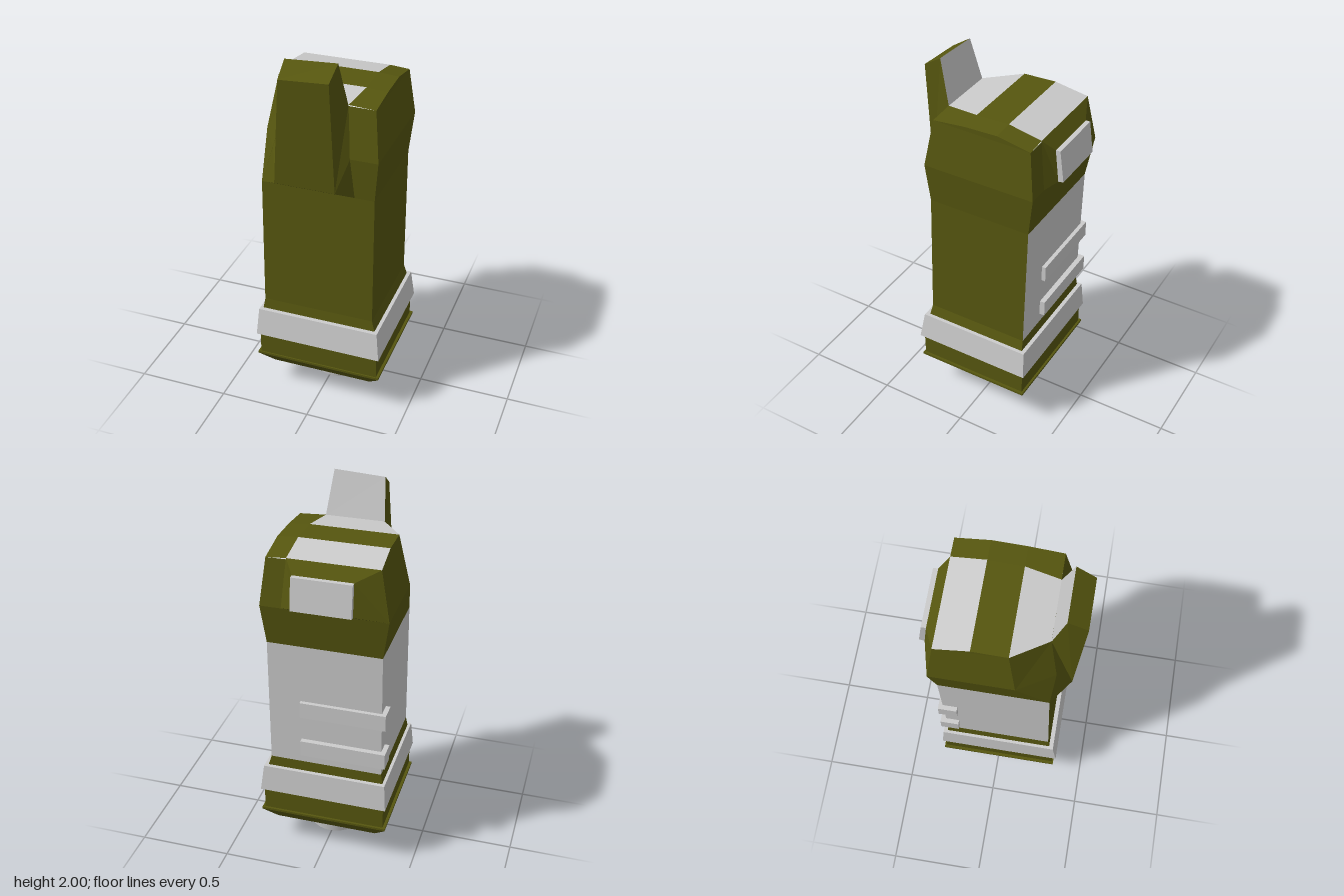
import * as THREE from 'three';

const OLIVE = new THREE.MeshStandardMaterial({ color: 0x56560f, flatShading: true });
const GREY = new THREE.MeshStandardMaterial({ color: 0xcccccc, flatShading: true });
const SMOOTH = new THREE.MeshStandardMaterial({ color: 0xcccccc, side: THREE.DoubleSide });

// Mesh from flat polygons (lists of [x, y, z] corners, counter-clockwise)
function panels(name, material, polygons) {
  const pos = [];
  for (const p of polygons) {
    for (let i = 1; i < p.length - 1; i++) pos.push(...p[0], ...p[i], ...p[i + 1]);
  }
  const geo = new THREE.BufferGeometry();
  geo.setAttribute('position', new THREE.Float32BufferAttribute(pos, 3));
  geo.computeVertexNormals();
  const mesh = new THREE.Mesh(geo, material);
  mesh.name = name;
  return mesh;
}

// Quads joining successive rings; "sides" optionally picks some of the ring edges
function loft(rings, sides) {
  const out = [];
  const n = rings[0].length;
  for (let r = 0; r < rings.length - 1; r++) {
    for (let i = 0; i < n; i++) {
      if (sides && !sides.includes(i)) continue;
      const j = (i + 1) % n;
      out.push([rings[r][i], rings[r][j], rings[r + 1][j], rings[r + 1][i]]);
    }
  }
  return out;
}

// Horizontal rectangle: front-left, front-right, back-right, back-left as seen from the front
const rect = (y, x0, x1, z0, z1) => [[x0, y, z1], [x1, y, z1], [x1, y, z0], [x0, y, z0]];

export function createModel() {
  const group = new THREE.Group();

  // Base tray with a recessed underside
  const recess = rect(0.15, -0.25, 0.25, -0.22, 0.24);
  group.add(panels('base', OLIVE, loft([
    recess,
    rect(0.13, -0.25, 0.25, -0.22, 0.24),
    rect(0.13, -0.28, 0.28, -0.25, 0.27),
    rect(0.21, -0.35, 0.35, -0.312, 0.335),
    rect(0.222, -0.35, 0.35, -0.312, 0.335),
    rect(0.222, -0.335, 0.335, -0.30, 0.328),
    rect(0.355, -0.335, 0.335, -0.30, 0.328),
  ])));
  group.add(panels('basePlate', GREY, [[...recess].reverse()]));

  // Band around the lower body
  group.add(panels('band', GREY, loft([
    rect(0.35, -0.33, 0.33, -0.30, 0.325),
    rect(0.35, -0.35, 0.352, -0.317, 0.346),
    rect(0.503, -0.34, 0.332, -0.306, 0.322),
    rect(0.503, -0.315, 0.305, -0.28, 0.29),
  ])));

  // Body rings: the front corner at -x opens into a chamfer above the waist
  const square = (y, x0, x1, z0, z1) => [...rect(y, x0, x1, z0, z1), [x0, y, z1]];
  const foot = square(0.495, -0.325, 0.315, -0.285, 0.30);
  const low = square(0.56, -0.315, 0.295, -0.28, 0.29);
  const waist = square(1.28, -0.315, 0.29, -0.30, 0.27);
  const bulge = [[-0.24, 1.5, 0.285], [0.31, 1.5, 0.285], [0.31, 1.5, -0.332],
    [-0.35, 1.5, -0.332], [-0.35, 1.5, 0.10]];

  // Top rows from front to back: left edge, seam, right edge
  const rows = [
    [0.24, 1.768, -0.175, 0.14],
    [0.06, 1.787, -0.295, 0.17],
    [-0.12, 1.793, -0.295, 0.172],
    [-0.30, 1.76, -0.30, 0.175],
  ].map(([z, y, l, s]) => [[l, y, z], [s, y, z], [0.28, y - 0.008, z]]);
  const rim = [rows[0][0], rows[0][2], rows[3][2], rows[3][0], rows[1][0]];

  const olive = [
    ...loft([foot, low]),
    ...loft([low, waist], [0, 1]),
    ...loft([waist, bulge, rim]),
    [rows[0][2], rows[3][2], rows[2][2], rows[1][2]],
    [rows[3][0], rows[1][0], rows[2][0]],
  ];
  const topGrey = [];
  for (let i = 0; i < 3; i++) {
    const [a, b] = [rows[i], rows[i + 1]];
    (i === 1 ? olive : topGrey).push([a[0], a[1], b[1], b[0]]);
    olive.push([a[1], a[2], b[2], b[1]]);
  }
  group.add(panels('body', OLIVE, olive));
  group.add(panels('topPanels', GREY, topGrey));
  group.add(panels('bodySidePanels', GREY, loft([low, waist], [2, 3])));

  // Front fin: right and left outlines from the front foot round to the front tip
  const R = [[0.115, 1.34, 0.365], [0.185, 1.28, 0.27], [0.165, 1.5, 0.284],
    [0.14, 1.765, 0.24], [0.11, 2.0, 0.30], [0.10, 1.935, 0.40]];
  const L = [[-0.205, 1.34, 0.365], [-0.315, 1.28, 0.27], [-0.24, 1.5, 0.284],
    [-0.175, 1.765, 0.24], [-0.16, 1.985, 0.30], [-0.155, 1.92, 0.40]];
  group.add(panels('fin', OLIVE, [
    R,
    [L[0], L[5], L[4], L[3], L[2], L[1]],
    [L[0], R[0], R[5], L[5]],
    [L[1], R[1], R[0], L[0]],
    [L[5], R[5], R[4], L[4]],
  ]));
  group.add(panels('finBack', GREY, [[R[3], L[3], L[4], R[4]]]));

  // Rear mount and its plate: rings as bottom edge then top edge, seen from behind
  const rear = (x0, x1, y0, z0, y1, z1) => [[x1, y0, z0], [x0, y0, z0], [x0, y1, z1], [x1, y1, z1]];
  const mountBase = [[0.2, 1.5, -0.331], [-0.35, 1.5, -0.331], rows[3][0], rows[3][1]];
  const mountFace = rear(-0.18, 0.13, 1.525, -0.372, 1.70, -0.353);
  group.add(panels('rearMount', OLIVE, [...loft([mountBase, mountFace]), mountFace]));
  const plateFace = rear(-0.18, 0.13, 1.53, -0.40, 1.70, -0.378);
  group.add(panels('rearPlate', GREY, [...loft([mountFace, plateFace]), plateFace]));

  // Grip strips wrapping the rear corner
  for (const y of [0.665, 0.905]) {
    const strip = new THREE.Mesh(new THREE.BoxGeometry(0.46, 0.09, 0.10), GREY);
    strip.name = 'gripStrip';
    strip.position.set(-0.11, y, -0.262);
    group.add(strip);
  }

  // Hollow nozzle underneath, one lathe per profile segment to keep the edges sharp
  const nozzle = new THREE.Group();
  nozzle.name = 'nozzle';
  const profile = [[0, 0.05], [0.093, 0.05], [0.093, 0], [0.143, 0], [0.163, 0.15]]
    .map(([r, y]) => new THREE.Vector2(r, y));
  for (let i = 0; i < profile.length - 1; i++) {
    const part = new THREE.Mesh(new THREE.LatheGeometry([profile[i], profile[i + 1]], 28), SMOOTH);
    part.name = 'nozzleWall';
    nozzle.add(part);
  }
  nozzle.position.x = 0.012;
  group.add(nozzle);

  return group;
}
